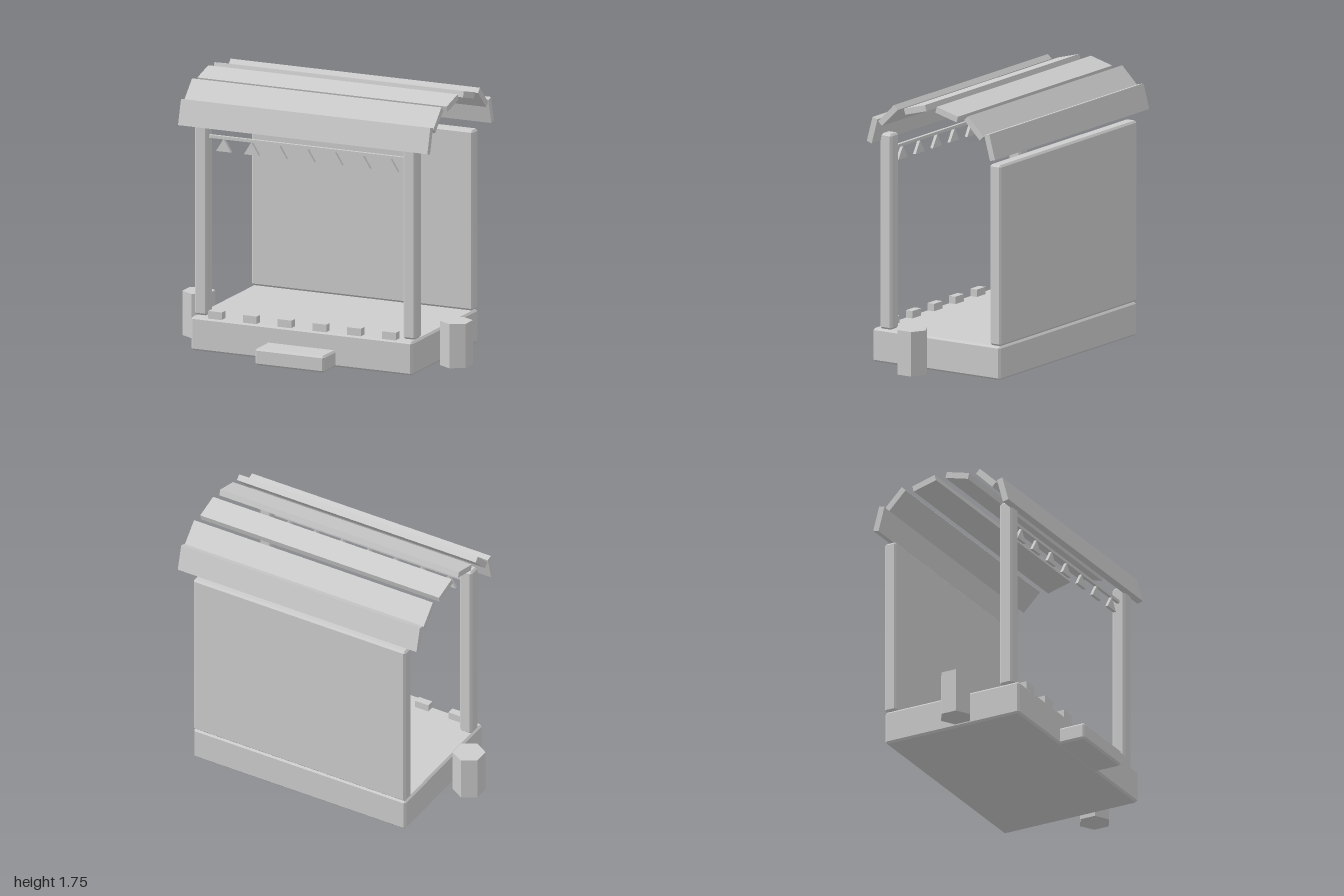
import * as THREE from 'three';
import { ConvexGeometry } from 'three/addons/geometries/ConvexGeometry.js';

export function createModel() {
  const model = new THREE.Group();
  model.name = 'marketStall';
  const grey = new THREE.MeshStandardMaterial({ color: 0xcccccc });
  grey.name = 'plain grey';

  function add(name, geometry, x, y, z) {
    const mesh = new THREE.Mesh(geometry, grey);
    mesh.name = name;
    mesh.position.set(x, y, z);
    model.add(mesh);
    return mesh;
  }

  // Box with every edge chamfered by c
  function chamferBox(w, h, d, c = 0.013) {
    const points = [];
    for (const sx of [-1, 1]) for (const sy of [-1, 1]) for (const sz of [-1, 1]) {
      const x = w / 2, y = h / 2, z = d / 2;
      points.push(
        new THREE.Vector3(sx * x, sy * (y - c), sz * (z - c)),
        new THREE.Vector3(sx * (x - c), sy * y, sz * (z - c)),
        new THREE.Vector3(sx * (x - c), sy * (y - c), sz * z)
      );
    }
    return new ConvexGeometry(points);
  }

  // Base, step and back wall
  add('platform', chamferBox(1.56, 0.22, 0.976), 0, 0.11, -0.073);
  add('frontStep', chamferBox(0.486, 0.11, 0.2), 0, 0.055, 0.492);
  add('backWall', chamferBox(1.56, 1.18, 0.086), 0, 0.812, -0.523);

  // Front posts and the barrels standing beside the platform
  for (const side of [-1, 1]) {
    const label = side > 0 ? 'left' : 'right';
    add(label + 'Post', chamferBox(0.09, 1.275, 0.092), side * 0.735, 0.86, 0.318);
    const barrel = new THREE.CylinderGeometry(0.105, 0.105, 0.29, 6).toNonIndexed();
    barrel.computeVertexNormals();
    add(label + 'Barrel', barrel, side * 0.907, 0.145, 0.026);
  }

  // Roof planks spaced along a half ellipse
  const plank = new THREE.BoxGeometry(1.756, 0.04, 0.168);
  for (let i = 0; i < 6; i++) {
    const angle = THREE.MathUtils.degToRad(15 + i * 30);
    const mesh = add('roofPlank', plank, 0,
      1.472 + 0.246 * Math.sin(angle), -0.098 + 0.466 * Math.cos(angle));
    mesh.rotation.x = Math.PI / 2 - angle;
  }

  // Bunting rail with triangular pennants
  add('buntingRail', new THREE.BoxGeometry(1.4, 0.02, 0.02), 0, 1.393, 0.32);
  const triangle = new THREE.Shape([
    new THREE.Vector2(-0.053, 0),
    new THREE.Vector2(0.053, 0),
    new THREE.Vector2(0, 0.084)
  ]);
  const pennant = new THREE.ExtrudeGeometry(triangle, { depth: 0.02, bevelEnabled: false });
  for (let i = -3; i <= 3; i++) add('pennant', pennant, i * 0.196, 1.302, 0.31);

  // Small blocks along the front edge of the platform
  const block = new THREE.BoxGeometry(0.098, 0.06, 0.05);
  for (let i = 0; i < 6; i++) add('edgeBlock', block, (i - 2.5) * 0.245, 0.238, 0.379);

  return model;
}
